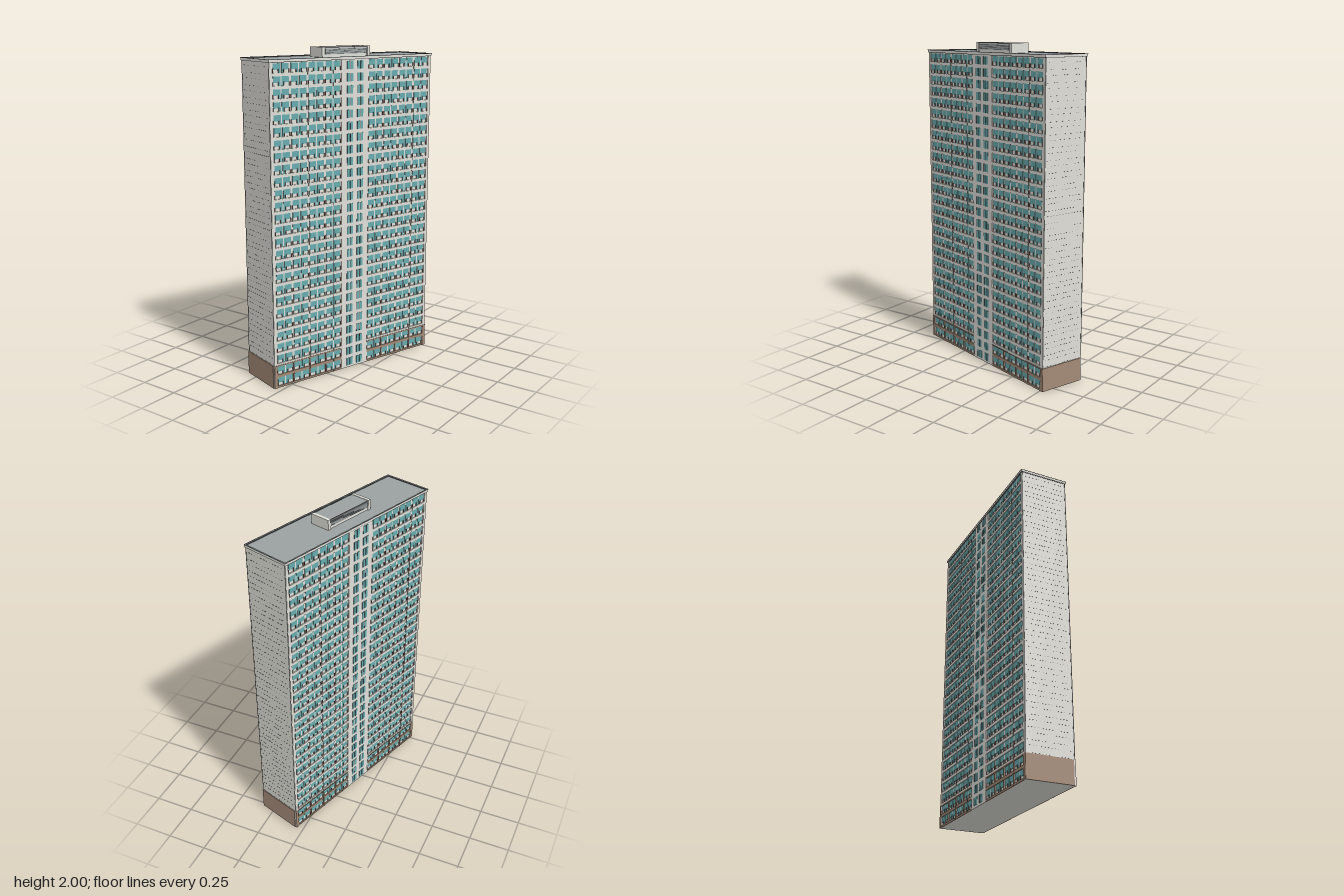
import * as THREE from 'three';
import { mergeGeometries } from 'three/addons/utils/BufferGeometryUtils.js';

const FLOORS = 27, PITCH = 0.0715, TOP = FLOORS * PITCH, BASE = 2 * PITCH;
const W = 0.15, L = 0.595, CORE = 0.144;      // half width, half length, recessed wall
const BAY = 0.119, BAYS = 4, INNER = 0.1;     // balcony bays on each side of the stair core

const material = (name, color) => {
  const m = new THREE.MeshStandardMaterial({ color });
  m.name = name;
  return m;
};

// box between two corners
const box = (x0, x1, y0, y1, z0, z1) =>
  new THREE.BoxGeometry(Math.abs(x1 - x0), y1 - y0, Math.abs(z1 - z0))
    .translate((x0 + x1) / 2, (y0 + y1) / 2, (z0 + z1) / 2);

export function createModel() {
  const mats = {
    concrete: material('pale concrete', 0xe0dfd8),
    brown: material('brown cladding', 0xa48b78),
    rail: material('red brown screen', 0x7c544b),
    glass: material('teal glass', 0x68abae),
    dark: material('dark joint', 0x4a4c4e),
    roof: material('grey roofing', 0x9ba1a1),
  };
  const tower = new THREE.Group();
  tower.name = 'tower';
  tower.rotation.y = -0.319;

  const add = (parent, name, mat, geos) => {
    const mesh = new THREE.Mesh(mergeGeometries(geos), mats[mat]);
    mesh.name = name;
    parent.add(mesh);
  };

  // core and roof
  add(tower, 'core', 'concrete', [box(-CORE, CORE, 0, TOP, -L + 0.002, L - 0.002)]);
  add(tower, 'roofDeck', 'roof', [box(-W, W, TOP, 1.94, -L, L)]);

  // one long facade, used twice
  const facade = () => {
    const g = new THREE.Group();
    g.name = 'longFacade';
    const frame = [], baseFrame = [], glass = [], dark = [], screens = [];

    // corner piers with brown base plates, and stair core
    for (const s of [-1, 1]) {
      frame.push(box(CORE, W, 0, TOP, s * (L - 0.02), s * L));
      baseFrame.push(box(W, W + 0.002, 0, BASE, s * (L - 0.02), s * L));
      baseFrame.push(box(CORE, W + 0.002, BASE - 0.008, BASE, s * INNER, s * (L - 0.001)));
    }
    frame.push(box(CORE, W, 0, TOP, -INNER, INNER));

    for (let f = 0; f < FLOORS; f++) {
      const y = f * PITCH, low = y + 0.012, high = y + 0.065;
      const bars = f < 2 ? baseFrame : frame;

      // paired stair windows
      for (const s of [-1, 1]) for (const c of [0.026, 0.05]) {
        glass.push(box(W, W + 0.002, y + 0.014, y + 0.062, s * c - 0.01, s * c + 0.01));
        dark.push(box(W, W + 0.003, y + 0.014, y + 0.062, s * c + 0.008, s * c + 0.01));
      }
      // short drain spouts on the slab edge
      for (const z of [0.338, 0.16, -0.457])
        dark.push(box(W, W + 0.002, Math.max(0, y - 0.006), low, z - 0.001, z + 0.001));

      for (const s of [-1, 1]) {
        // floor slab edge
        bars.push(box(CORE, W, Math.max(0, y - 0.0065), low, s * INNER, s * (L - 0.02)));

        for (let i = 0; i < BAYS; i++) {
          const c = s * (INNER + BAY * (i + 0.5));
          const edge = c - s * BAY / 2;

          // wide windows beside narrow balcony doors
          for (const t of [-1, 1]) {
            glass.push(box(CORE, CORE + 0.002, y + 0.03, high, c + t * 0.016, c + t * 0.052));
            glass.push(box(CORE, CORE + 0.002, low, high, c + t * 0.004, c + t * 0.016));
          }

          // base fins and low balcony screens
          if (i > 0 && f < 2) baseFrame.push(box(CORE, W + 0.002, low, high, edge - 0.003, edge + 0.003));
          for (const d of [-0.054, -0.018, 0.018, 0.054])
            screens.push(box(CORE, W - 0.0005, low, y + 0.034, c + d - 0.0006, c + d + 0.0006));
        }
      }
    }

    add(g, 'concreteFrame', 'concrete', frame);
    add(g, 'baseFrame', 'brown', baseFrame);
    add(g, 'windows', 'glass', glass);
    add(g, 'jambsAndSpouts', 'dark', dark);
    add(g, 'balconyScreens', 'rail', screens);
    return g;
  };

  // one blank end wall with brown base and panel joints
  const endWall = () => {
    const g = new THREE.Group();
    g.name = 'endWall';
    const joints = [];
    // two staggered rows of short joints on each floor
    for (let f = 2; f < FLOORS; f++) for (const [rise, shift] of [[0.004, 0], [0.045, 0.011]])
      for (let i = 0; i < 12; i++) {
        const x = -0.132 + shift + i * 0.022, y = f * PITCH + rise;
        joints.push(box(x - 0.005, x + 0.005, y, y + 0.0009, L - 0.001, L + 0.001));
      }
    // vertical corner joints
    for (const s of [-1, 1])
      joints.push(box(s * 0.1445, s * 0.147, BASE, TOP, L - 0.001, L + 0.001));
    add(g, 'wallPanel', 'concrete', [box(-CORE, CORE, 0, TOP, L - 0.004, L)]);
    add(g, 'basePanel', 'brown', [box(-W, W - 0.01, 0, BASE, L, L + 0.004)]);
    add(g, 'panelJoints', 'dark', joints);
    return g;
  };

  for (const turn of [0, Math.PI]) {
    for (const part of [facade(), endWall()]) {
      part.rotation.y = turn;
      tower.add(part);
    }
  }

  // parapet rim, grey capping and dark edge lines
  const rim = (w, l, t, y0, y1) => [-1, 1].flatMap(s => [
    box(s * (w - t), s * w, y0, y1, -l, l),
    box(-w + t, w - t, y0, y1, s * (l - t), s * l),
  ]);
  add(tower, 'parapet', 'concrete', rim(W + 0.004, L + 0.004, 0.007, TOP + 0.001, 1.943));
  add(tower, 'parapetCap', 'roof', rim(W + 0.004, L + 0.004, 0.007, 1.943, 1.946));
  add(tower, 'edgeLines', 'dark', [
    ...rim(W + 0.002, L + 0.002, 0.004, TOP - 0.002, TOP + 0.001),
    ...rim(W - 0.003, L - 0.003, 0.002, 1.94, 1.945),
    ...rim(W + 0.005, L + 0.005, 0.0015, 1.944, 1.9465),
  ]);

  // rooftop plant room between two end walls
  const plant = new THREE.Group();
  plant.name = 'plantRoom';
  add(plant, 'plantWalls', 'concrete', [box(-0.058, 0.058, 1.94, 1.993, -0.158, 0.158)]);
  add(plant, 'plantRoof', 'roof', [box(-0.061, 0.061, 1.993, 1.998, -0.158, 0.158)]);
  add(plant, 'plantEnds', 'concrete', [-1, 1].map(s =>
    box(-0.064, 0.064, 1.94, 2, s * 0.157, s * 0.177)));
  add(plant, 'louvers', 'roof', [-1, 1].map(s =>
    box(s * 0.057, s * 0.061, 1.957, 1.99, -0.152, 0.152)));
  const slats = [];
  for (const s of [-1, 1]) {
    for (let i = 0; i < 4; i++)
      slats.push(box(s * 0.06, s * 0.062, 1.96 + i * 0.008, 1.9615 + i * 0.008, -0.152, 0.152));
    slats.push(box(s * 0.06, s * 0.062, 1.996, 1.999, -0.157, 0.157));
  }
  add(plant, 'louverSlats', 'dark', slats);
  tower.add(plant);

  const model = new THREE.Group();
  model.name = 'apartmentTower';
  model.add(tower);
  return model;
}
